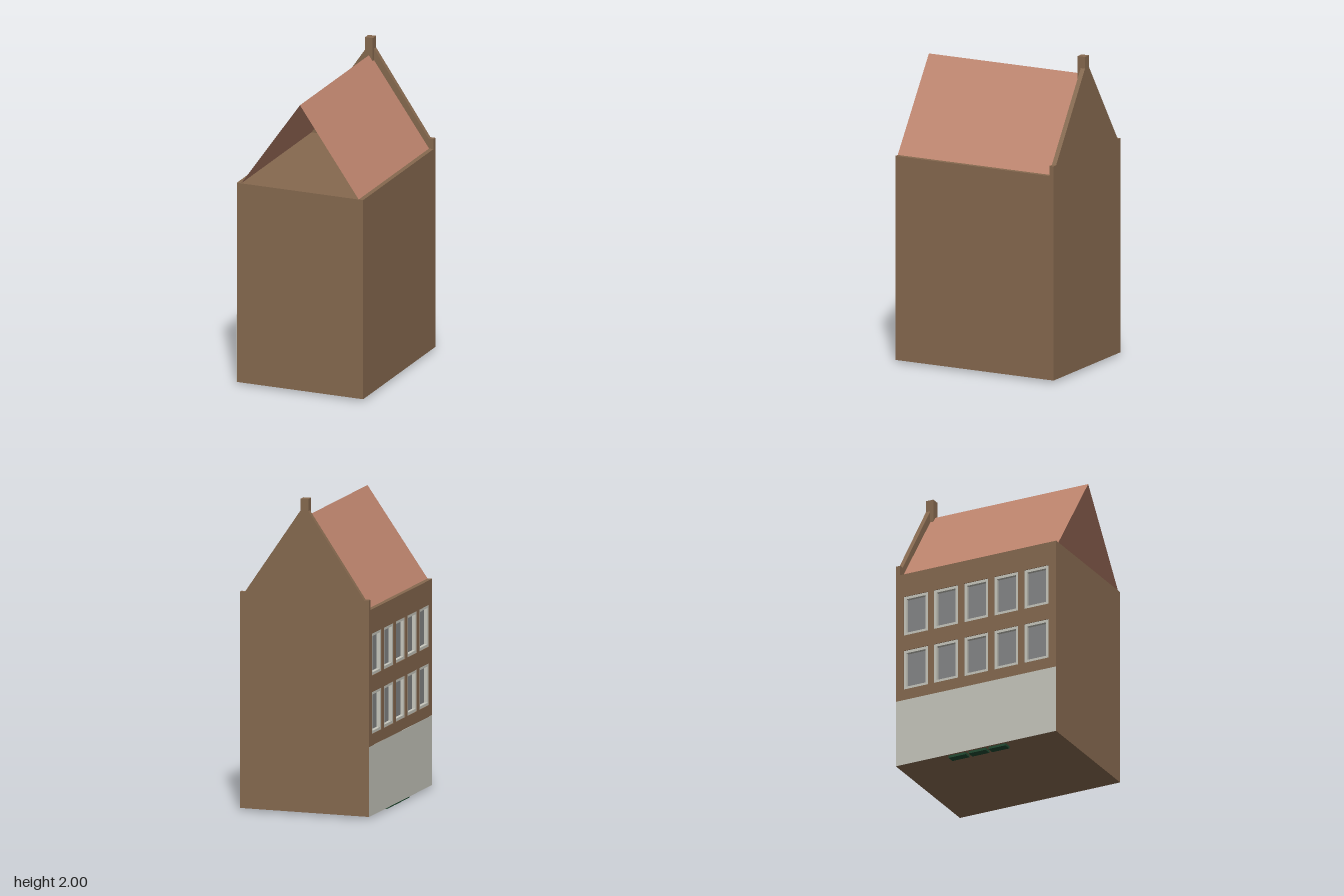
import * as THREE from 'three';

const X = 0.5625, Z = 0.4285;            // half length and half depth of the house
const WALL = 0.03;                       // wall thickness
const BASE = 0.015, STONE = 0.457, EAVE = 1.32, RIDGE = 1.885;

const paint = (color, side = THREE.FrontSide) => {
  const m = new THREE.MeshStandardMaterial({ side });
  m.color.set(color);
  return m;
};

// Closed rectangle outline, usable as a shape or a hole
function rect(Type, x0, y0, x1, y1) {
  const p = new Type();
  p.moveTo(x0, y0);
  p.lineTo(x1, y0);
  p.lineTo(x1, y1);
  p.lineTo(x0, y1);
  p.closePath();
  return p;
}

export function createModel() {
  const house = new THREE.Group();
  house.name = 'townHouse';

  const brick = paint(0x86694f);
  const stone = paint(0xc8c8be);
  const glass = paint(0x858687);
  const tile = paint(0xbd846d, THREE.DoubleSide);
  const green = paint(0x1f4a30);

  function add(name, geometry, material, parent = house) {
    const mesh = new THREE.Mesh(geometry, material);
    mesh.name = name;
    parent.add(mesh);
    return mesh;
  }
  // Box given by its minimum and maximum corners
  function box(name, a, b, material, parent) {
    const g = new THREE.BoxGeometry(b[0] - a[0], b[1] - a[1], b[2] - a[2]);
    g.translate((a[0] + b[0]) / 2, (a[1] + b[1]) / 2, (a[2] + b[2]) / 2);
    return add(name, g, material, parent);
  }
  const extrude = (shape, depth) =>
    new THREE.ExtrudeGeometry(shape, { depth, bevelEnabled: false });

  // Main block and the backing of the ground floor
  const inner = X - WALL;
  box('body', [-X, BASE, -Z + WALL], [inner, EAVE, Z], brick);
  box('groundFloorWall', [-X, BASE, -Z], [inner, STONE, -Z + WALL], brick);
  box('stoneGroundFloor', [-X, BASE, -Z - 0.001], [X, STONE, -Z + 0.001], stone);

  // Street facade with two rows of five windows
  const facade = rect(THREE.Shape, -X, STONE, inner, EAVE);
  const windows = new THREE.Group();
  windows.name = 'windows';
  house.add(windows);
  const W = 0.169, H = 0.265, BAR = 0.018;
  for (const y of [0.53, 0.9]) {
    for (let i = -2; i <= 2; i++) {
      const x = i * 0.2115 - W / 2;
      facade.holes.push(rect(THREE.Path, x, y, x + W, y + H));
      const frame = rect(THREE.Shape, x, y, x + W, y + H);
      frame.holes.push(rect(THREE.Path, x + BAR, y + BAR, x + W - BAR, y + H - BAR));
      const g = extrude(frame, WALL - 0.004);
      g.translate(0, 0, -Z + 0.004);
      add('windowFrame', g, stone, windows);
      box('windowPane', [x + BAR, y + BAR, -Z + 0.026],
        [x + W - BAR, y + H - BAR, -Z + WALL], glass, windows);
    }
  }
  const facadeGeometry = extrude(facade, WALL);
  facadeGeometry.translate(0, 0, -Z);
  add('facade', facadeGeometry, brick);

  // Raised gable wall with small shoulders
  const gable = new THREE.Shape([
    [-Z, BASE], [Z, BASE], [Z, 1.385], [0.395, 1.385],
    [0.026, 1.925], [-0.026, 1.925], [-0.395, 1.385], [-Z, 1.385],
  ].map(([z, y]) => new THREE.Vector2(z, y)));
  const gableGeometry = extrude(gable, WALL);
  gableGeometry.rotateY(Math.PI / 2);
  gableGeometry.translate(inner, 0, 0);
  add('gableWall', gableGeometry, brick);

  // Chimney on the gable peak
  box('chimney', [X - 0.052, 1.85, -0.026], [X, 2, 0.026], brick);

  // Two thin roof slopes, open at the far end
  const run = Z - WALL, rise = RIDGE - EAVE;
  for (const s of [-1, 1]) {
    const g = new THREE.PlaneGeometry(X + inner, Math.hypot(run, rise));
    g.rotateX(-Math.atan2(run, rise));
    if (s < 0) g.rotateY(Math.PI);
    g.translate((inner - X) / 2, (EAVE + RIDGE) / 2, s * run / 2);
    add('roofSlope', g, tile);
  }

  // Three low pads under the street side
  for (const i of [-1, 0, 1]) {
    box('basePad', [i * 0.14 - 0.06, 0, -0.415], [i * 0.14 + 0.06, BASE, -0.363], green);
  }

  // The house stands at an angle
  house.rotation.y = 0.476;
  const model = new THREE.Group();
  model.name = 'model';
  model.add(house);
  return model;
}
